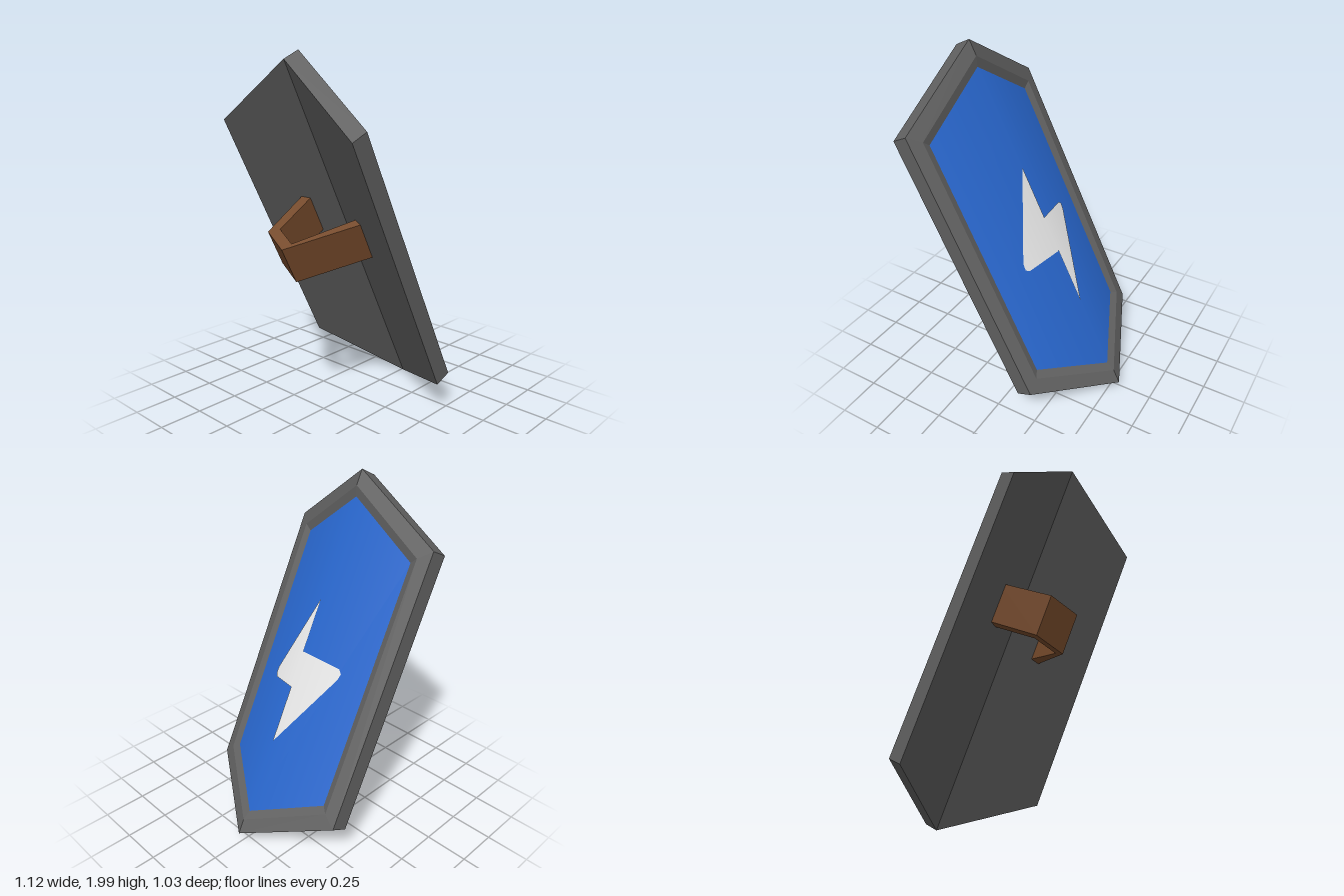
import * as THREE from 'three';

const FOLD = 0.318; // how far the face falls back per unit away from the centre ridge

const mat = (name, color) => {
  const m = new THREE.MeshStandardMaterial({ color });
  m.name = name;
  return m;
};

// A point on the folded shield face, moved along the normal by off
const onFold = (x, y, off) => [x, y, -FOLD * Math.abs(x) + off];

// Six-sided outline, counter-clockwise from the top tip
const hexRing = (halfWidth, cornerY, tipY, off) => [
  [0, tipY], [-halfWidth, cornerY], [-halfWidth, -cornerY],
  [0, -tipY], [halfWidth, -cornerY], [halfWidth, cornerY],
].map(([x, y]) => onFold(x, y, off));

// Flat-shaded mesh from convex polygons
function polyMesh(name, polys, material) {
  const pos = [];
  for (const p of polys)
    for (let i = 1; i < p.length - 1; i++) pos.push(...p[0], ...p[i], ...p[i + 1]);
  const geo = new THREE.BufferGeometry();
  geo.setAttribute('position', new THREE.Float32BufferAttribute(pos, 3));
  geo.computeVertexNormals();
  const mesh = new THREE.Mesh(geo, material);
  mesh.name = name;
  return mesh;
}

// Blend the normals across the ridge so the face shades as a soft curve
function softenRidge(mesh) {
  const { position, normal } = mesh.geometry.attributes;
  const n = new THREE.Vector3();
  for (let i = 0; i < position.count; i++) {
    n.set(FOLD * position.getX(i) / 0.405, 0, 1).normalize();
    normal.setXYZ(i, n.x, n.y, n.z);
  }
  return mesh;
}

// Quads joining two rings
const band = (a, b) => a.map((p, i) => {
  const j = (i + 1) % a.length;
  return [p, a[j], b[j], b[i]];
});

// Left and right halves of a six-sided ring
const halves = (r) => [[r[0], r[1], r[2], r[3]], [r[3], r[4], r[5], r[0]]];

export function createModel() {
  const iron = mat('dark iron', 0x606060);
  const blue = mat('blue enamel', 0x2866cc);
  const white = mat('white paint', 0xf0f0f0);
  const wood = mat('brown leather', 0x74492a);

  const shield = new THREE.Group();
  shield.name = 'shield';

  // Rim and back plate
  const back = hexRing(0.515, 0.79, 1.09, -0.1);
  const front = hexRing(0.515, 0.79, 1.09, 0);
  const lip = hexRing(0.445, 0.73, 1.0, 0);
  const inner = hexRing(0.405, 0.7, 0.945, -0.025);
  shield.add(polyMesh('rim', [...band(back, front), ...band(front, lip), ...band(lip, inner)], iron));
  shield.add(polyMesh('backPlate', halves(back).map((p) => p.reverse()), iron));

  // Recessed front panel
  shield.add(softenRidge(polyMesh('panel', halves(inner), blue)));

  // Painted bolt, one half on each side of the ridge
  const bolt = [
    [[0, 0.36], [-0.222, -0.115], [-0.225, -0.155], [-0.205, -0.172], [0, -0.165]],
    [[0, 0.05], [0, -0.5], [0.245, -0.02], [0.252, 0.015], [0.235, 0.036]],
  ].map((half) => half.map(([x, y]) => onFold(x, y, -0.02)));
  shield.add(softenRidge(polyMesh('bolt', bolt, white)));

  // Bent strap handle, slightly rolled across the back
  const strap = new THREE.Shape([
    [0.23, 0.13], [0.168, 0.48], [0, 0.537], [-0.24, 0.13],
    [-0.18, 0.13], [-0.01, 0.475], [0.125, 0.43], [0.175, 0.12],
  ].map(([x, y]) => new THREE.Vector2(x, y)));
  const strapGeo = new THREE.ExtrudeGeometry(strap, { depth: 0.22, bevelEnabled: false });
  strapGeo.rotateX(-Math.PI / 2);
  const p = strapGeo.attributes.position;
  for (let i = 0; i < p.count; i++) p.setY(i, p.getY(i) + 0.015 + 0.2 * p.getX(i));
  strapGeo.computeVertexNormals();
  const handle = new THREE.Mesh(strapGeo, wood);
  handle.name = 'handle';
  shield.add(handle);

  // Lean the shield back and turn it slightly
  const up = new THREE.Vector3(-0.447, 0.894, 0).normalize();
  const out = new THREE.Vector3(0.89, 0.445, 0.0924).normalize();
  const side = new THREE.Vector3().crossVectors(up, out);
  shield.quaternion.setFromRotationMatrix(new THREE.Matrix4().makeBasis(side, up, out));
  shield.position.set(0.069, 1.022, 0.02);

  const model = new THREE.Group();
  model.name = 'model';
  model.add(shield);
  return model;
}
